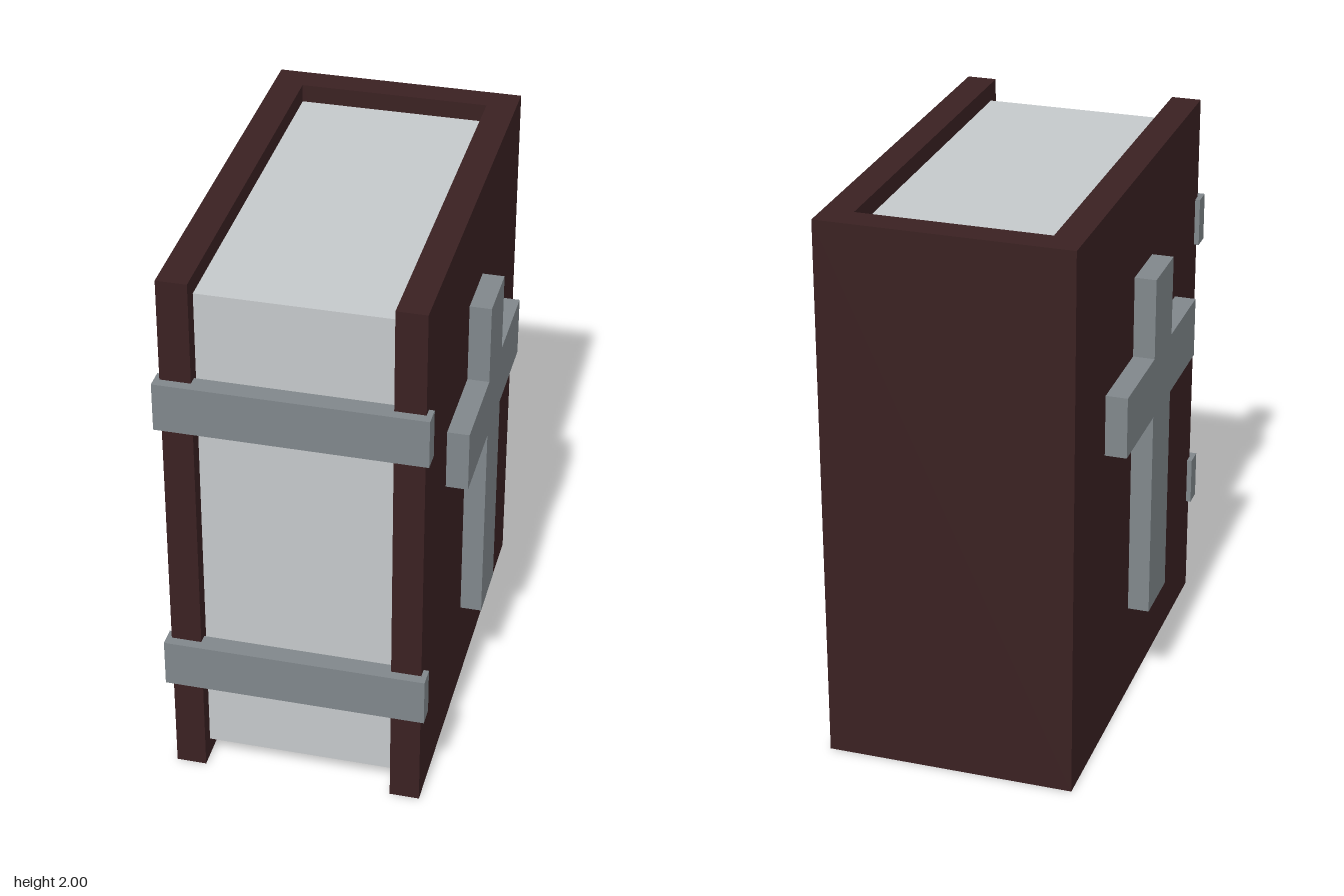
import * as THREE from 'three';

const material = (name, color) => {
  const m = new THREE.MeshStandardMaterial({ color });
  m.name = name;
  return m;
};

// Extrude an outline and move its depth range to start at the given value
function extrude(points, depth) {
  const shape = new THREE.Shape(points.map(([x, y]) => new THREE.Vector2(x, y)));
  return new THREE.ExtrudeGeometry(shape, { depth, bevelEnabled: false });
}

export function createModel() {
  const leather = material('dark red leather', 0x3a2122);
  const paper = material('pale paper', 0xc4c8ca);
  const metal = material('grey metal', 0x80878b);

  const model = new THREE.Group();
  model.name = 'book';

  const add = (name, geometry, mat) => {
    const mesh = new THREE.Mesh(geometry, mat);
    mesh.name = name;
    model.add(mesh);
    return mesh;
  };

  // Box given by its lower and upper limits
  const addBox = (name, mat, [x0, y0, z0], [x1, y1, z1]) =>
    add(name, new THREE.BoxGeometry(x1 - x0, y1 - y0, z1 - z0), mat)
      .position.set((x0 + x1) / 2, (y0 + y1) / 2, (z0 + z1) / 2);

  // Cover: a U-shaped plan (two boards and the spine), raised to full height
  const cover = extrude([
    [-0.447, -0.76], [-0.34, -0.76], [-0.34, 0.69], [0.337, 0.69],
    [0.337, -0.76], [0.443, -0.76], [0.443, 0.795], [-0.447, 0.795],
  ], 2);
  cover.rotateX(-Math.PI / 2);
  add('cover', cover, leather);

  // Page block, set in from the cover edges
  addBox('pages', paper, [-0.34, 0.07, -0.69], [0.337, 1.935, 0.703]);

  // Two clasps across the open edge
  for (const [name, y] of [['lowerClasp', 0.38], ['upperClasp', 1.45]]) {
    addBox(name, metal, [-0.465, y, 0.725], [0.462, y + 0.177, 0.795]);
  }

  // A raised cross on each board; outline is in (-z, y)
  const outline = [
    [-0.105, 0.36], [0.12, 0.36], [0.12, 1.133], [0.458, 1.133],
    [0.458, 1.355], [0.12, 1.355], [0.12, 1.648], [-0.105, 1.648],
    [-0.105, 1.355], [-0.442, 1.355], [-0.442, 1.133], [-0.105, 1.133],
  ];
  for (const [name, x] of [['leftCross', 0.448], ['rightCross', -0.529]]) {
    const cross = extrude(outline, 0.077);
    cross.rotateY(Math.PI / 2);
    add(name, cross, metal).position.x = x;
  }

  return model;
}
